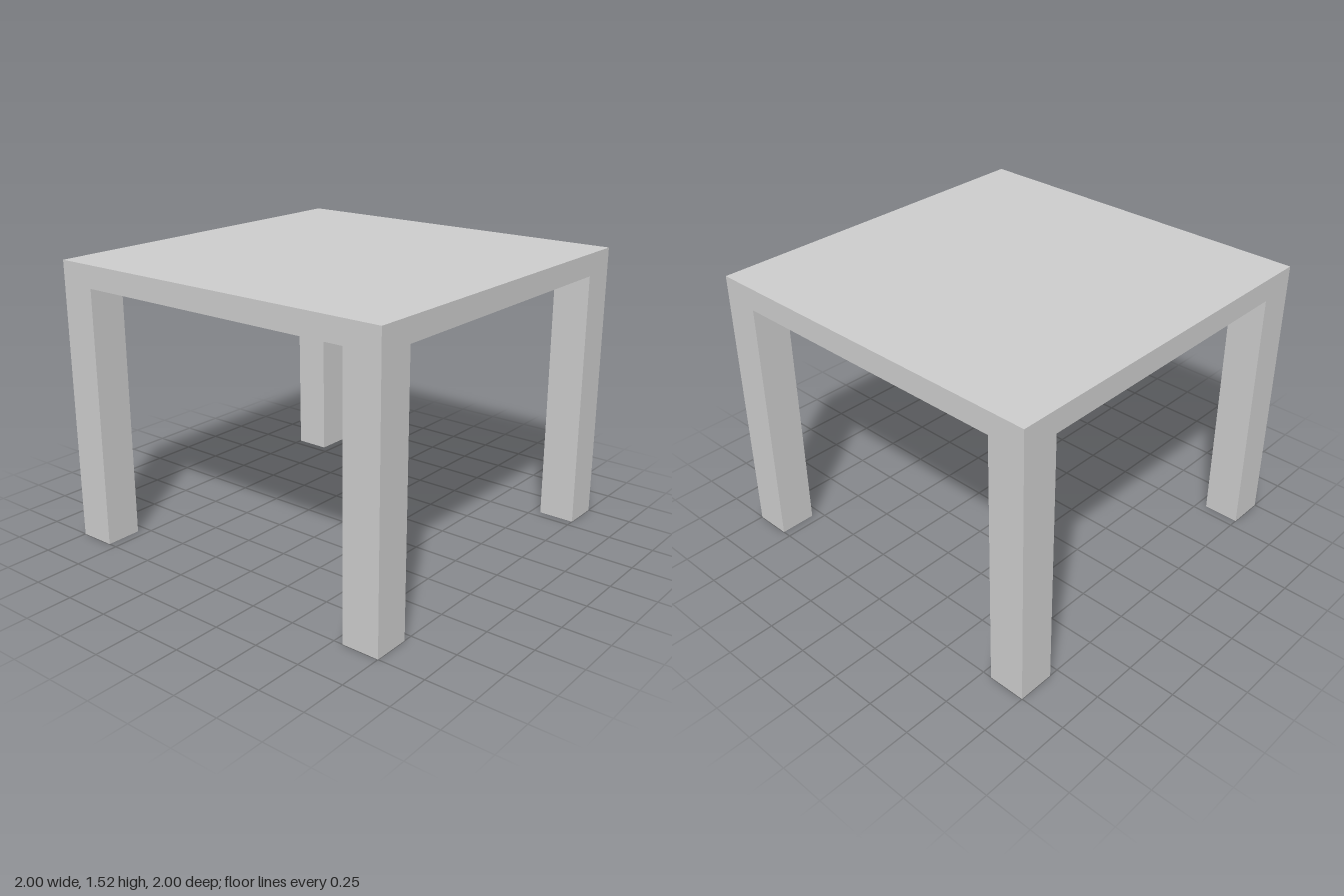
import * as THREE from 'three';

const SIZE = 2;
const HEIGHT = 1.52;
const TOP_THICKNESS = 0.12;
const LEG_WIDTH = 0.2;

export function createModel() {
  const table = new THREE.Group();
  table.name = 'table';
  const material = new THREE.MeshStandardMaterial({ color: 0xcccccc });

  // Square slab top
  const top = new THREE.Mesh(new THREE.BoxGeometry(SIZE, TOP_THICKNESS, SIZE), material);
  top.name = 'tableTop';
  top.position.y = HEIGHT - TOP_THICKNESS / 2;
  table.add(top);

  // Four square legs, flush with the corners of the top
  const legHeight = HEIGHT - TOP_THICKNESS;
  const legGeometry = new THREE.BoxGeometry(LEG_WIDTH, legHeight, LEG_WIDTH);
  const offset = (SIZE - LEG_WIDTH) / 2;
  for (const [zName, z] of [['front', 1], ['back', -1]]) {
    for (const [xName, x] of [['Left', 1], ['Right', -1]]) {
      const leg = new THREE.Mesh(legGeometry, material);
      leg.name = `${zName}${xName}Leg`;
      leg.position.set(x * offset, legHeight / 2, z * offset);
      table.add(leg);
    }
  }

  return table;
}
